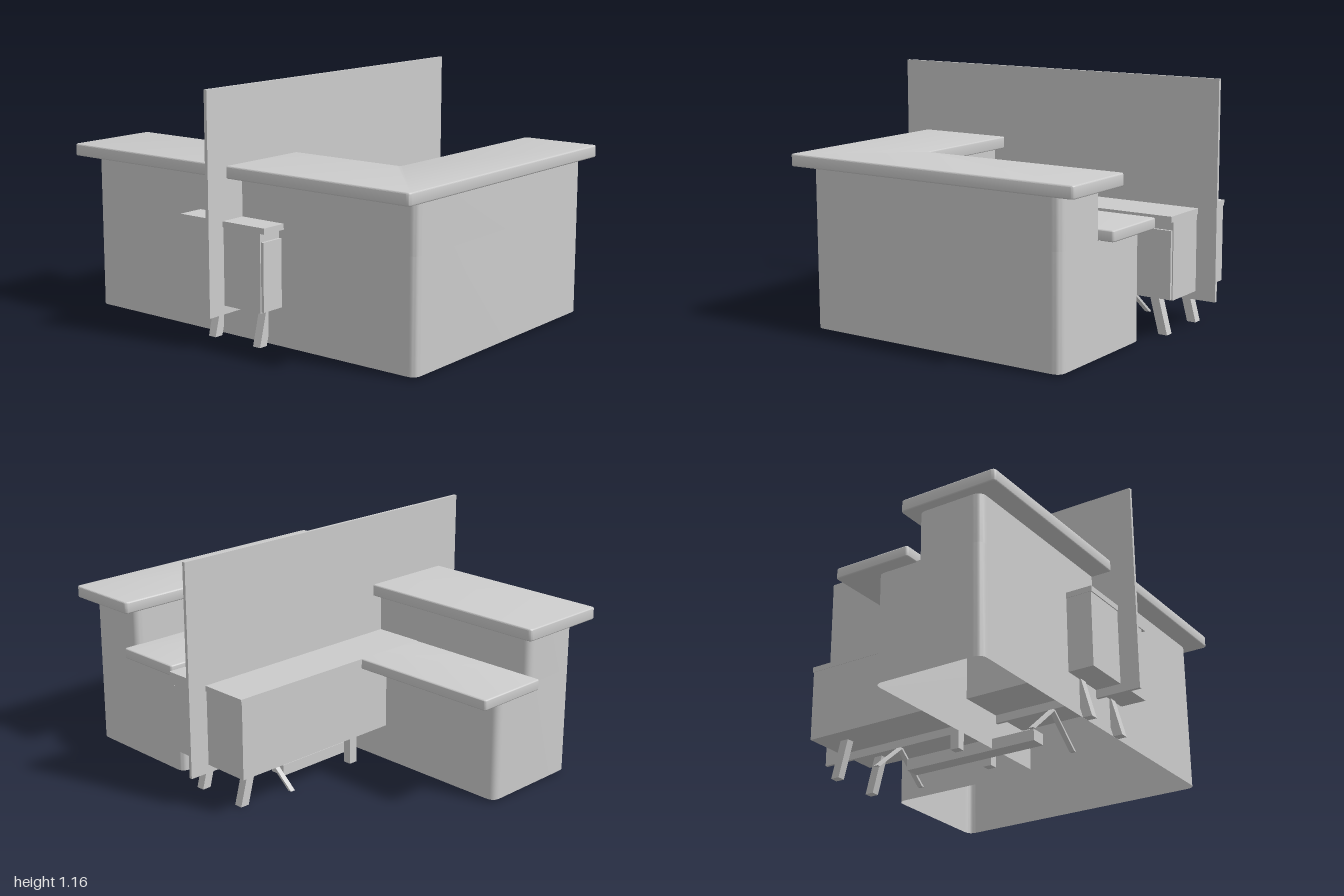
import * as THREE from 'three';
import { toCreasedNormals } from 'three/addons/utils/BufferGeometryUtils.js';

const grey = new THREE.MeshStandardMaterial({ color: 0xcccccc });
const greySheet = new THREE.MeshStandardMaterial({ color: 0xcccccc, side: THREE.DoubleSide });

// L-shaped plan in (x, z): a front arm and an arm running back, with rounded corners
function lPlan(x0, x1, z0, z1, innerX, innerZ, r) {
  const pts = [[x0, z0], [innerX, z0], [innerX, innerZ], [x1, innerZ], [x1, z1], [x0, z1]]
    .map(([x, z]) => new THREE.Vector2(x, z));
  const shape = new THREE.Shape();
  pts.forEach((p, i) => {
    const prev = pts[(i + pts.length - 1) % pts.length];
    const next = pts[(i + 1) % pts.length];
    const a = p.clone().add(prev.clone().sub(p).setLength(r));
    const b = p.clone().add(next.clone().sub(p).setLength(r));
    if (i === 0) shape.moveTo(a.x, a.y);
    else shape.lineTo(a.x, a.y);
    shape.quadraticCurveTo(p.x, p.y, b.x, b.y);
  });
  shape.closePath();
  return shape;
}

// Slab with softened edges lying on the given plan
function slab(shape, y0, y1, bevel = 0.006) {
  const geo = new THREE.ExtrudeGeometry(shape, {
    depth: y1 - y0 - 2 * bevel, bevelThickness: bevel, bevelSize: bevel,
    bevelOffset: -bevel, bevelSegments: 3, curveSegments: 6,
  });
  geo.rotateX(Math.PI / 2).translate(0, y1 - bevel, 0);
  return toCreasedNormals(geo, 0.6);
}

// Open vertical skirt following the plan, without top or bottom
function skirt(shape, y0, y1) {
  const pts = shape.getPoints(8);
  const pos = [];
  pts.forEach((a, i) => {
    const b = pts[(i + 1) % pts.length];
    if (a.distanceTo(b) < 1e-6) return;
    pos.push(a.x, y0, a.y, a.x, y1, a.y, b.x, y1, b.y);
    pos.push(a.x, y0, a.y, b.x, y1, b.y, b.x, y0, b.y);
  });
  const geo = new THREE.BufferGeometry();
  geo.setAttribute('position', new THREE.Float32BufferAttribute(pos, 3));
  return toCreasedNormals(geo, 0.6);
}

// Box given by its limits
function box(x0, x1, y0, y1, z0, z1) {
  return new THREE.BoxGeometry(x1 - x0, y1 - y0, z1 - z0)
    .translate((x0 + x1) / 2, (y0 + y1) / 2, (z0 + z1) / 2);
}

// Square bar between two points lying in one upright plane, with level ends
function slantedBar(from, to, width, depth) {
  const geo = new THREE.BoxGeometry(width, 1, depth);
  const p = geo.attributes.position;
  for (let i = 0; i < p.count; i++) {
    const t = p.getY(i) + 0.5;
    p.setXYZ(i,
      p.getX(i) + THREE.MathUtils.lerp(from[0], to[0], t),
      THREE.MathUtils.lerp(from[1], to[1], t),
      p.getZ(i) + THREE.MathUtils.lerp(from[2], to[2], t));
  }
  geo.computeVertexNormals();
  return geo;
}

export function createModel() {
  const model = new THREE.Group();
  const group = (name) => {
    const g = new THREE.Group();
    g.name = name;
    model.add(g);
    return g;
  };
  const add = (parent, name, geo, material = grey) => {
    const mesh = new THREE.Mesh(geo, material);
    mesh.name = name;
    parent.add(mesh);
  };

  // Reception counter: hollow base, low worktop, raised top
  const counter = group('counter');
  add(counter, 'lowerBase', skirt(lPlan(-0.665, 0.675, -0.93, 0.96, -0.13, 0.32, 0.045), 0.015, 0.53), greySheet);
  add(counter, 'upperBase', skirt(lPlan(-0.665, 0.675, -0.93, 0.96, -0.34, 0.645, 0.045), 0.53, 0.765), greySheet);
  add(counter, 'worktop', slab(lPlan(-0.34, 0.74, -1, 0.655, 0.04, 0.3, 0.015), 0.525, 0.575));
  add(counter, 'counterTop', slab(lPlan(-0.765, 0.76, -0.98, 0.995, -0.285, 0.6, 0.02), 0.76, 0.817));

  // Low cabinet with a door front
  const cabinet = group('cabinet');
  add(cabinet, 'cabinetBody', box(-0.79, 0.785, 0.19, 0.548, -0.248, 0.222));
  add(cabinet, 'cabinetTop', box(-0.795, 0.79, 0.548, 0.575, -0.25, 0.25));
  add(cabinet, 'cabinetDoors', box(-0.785, 0.78, 0.195, 0.508, 0.222, 0.236));
  for (const side of [-1, 0, 1]) {
    for (const z of [-0.135, 0.135]) {
      add(cabinet, 'cabinetLeg', slantedBar([side * 0.7, 0.005, z], [side * 0.65, 0.192, z], 0.045, 0.042));
    }
  }

  // Thin upright screen on splayed feet
  const screen = group('screen');
  add(screen, 'screenPanel', box(-0.885, 0.885, 0.15, 1.165, -0.008, 0.008));
  for (const x of [-0.43, 0.43]) {
    for (const side of [-1, 1]) {
      add(screen, 'screenFoot', slantedBar([x, 0.003, side * 0.178], [x, 0.15, 0], 0.025, 0.018));
    }
  }

  // Long bar lying under the screen
  add(model, 'soundBar', box(-0.355, 0.355, 0.008, 0.063, -0.04, 0.04));

  return model;
}
